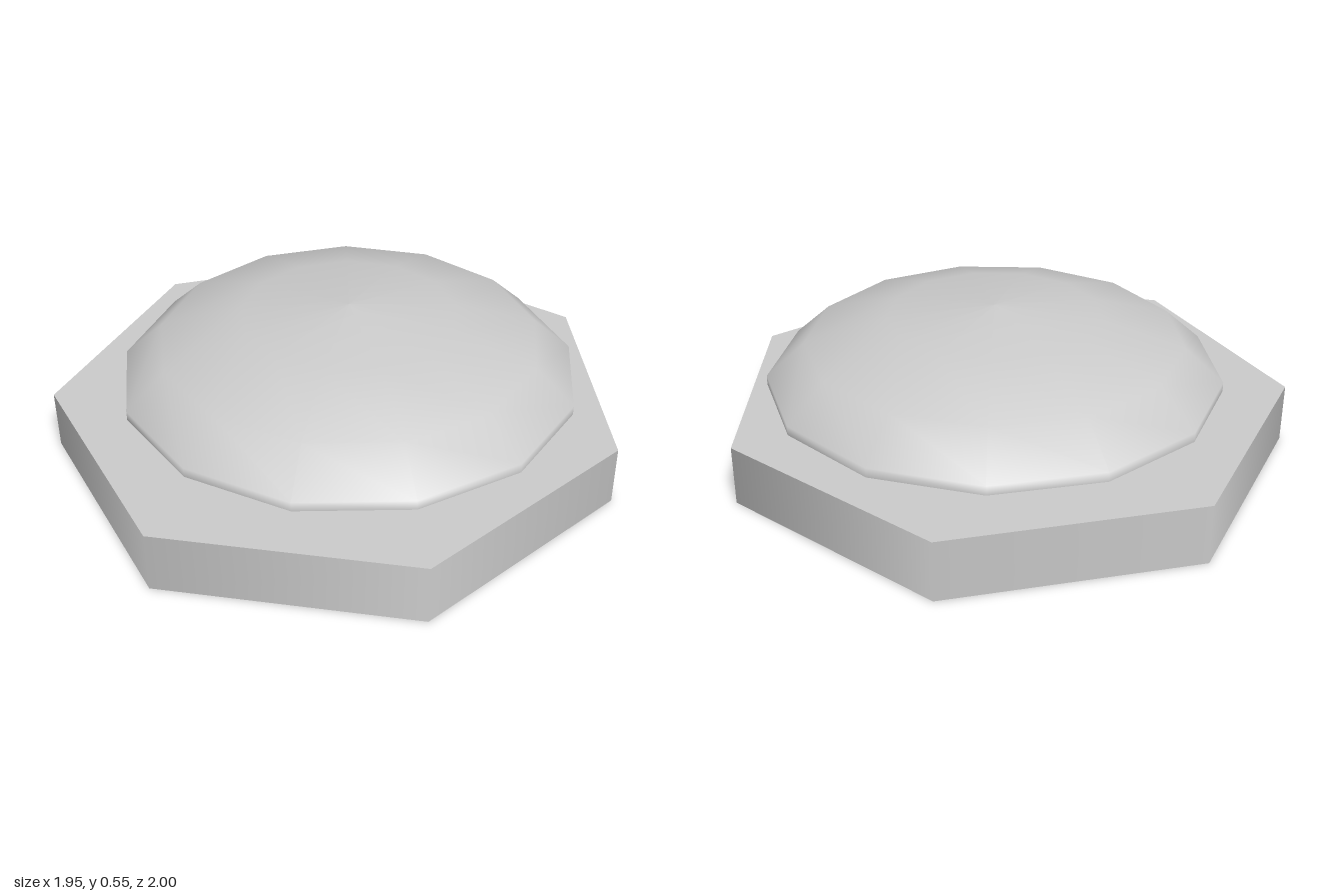
import * as THREE from 'three';

export function createModel() {
  const group = new THREE.Group();
  const material = new THREE.MeshStandardMaterial({ color: 0xcccccc });

  const add = (parent, name, geometry, x, y, z) => {
    const mesh = new THREE.Mesh(geometry, material);
    mesh.name = name;
    mesh.position.set(x, y, z);
    parent.add(mesh);
  };

  // Seven-sided base slab with one corner on +x
  const baseHeight = 0.215;
  add(group, 'base',
    new THREE.CylinderGeometry(1.026, 1.026, baseHeight, 7, 1, false, Math.PI / 2),
    -0.053, baseHeight / 2, 0);

  // Flattened half-ellipsoid floating just above the base
  const sides = 13, radius = 0.824, height = 0.28;
  const step = (2 * Math.PI) / sides;
  const rim = radius * Math.sin(3 * step);
  const profile = [new THREE.Vector2(rim, 0)];
  for (let i = 3; i >= 0; i--) {
    profile.push(new THREE.Vector2(radius * Math.sin(i * step), height * Math.cos(i * step)));
  }
  const dome = new THREE.Group();
  dome.name = 'dome';
  dome.position.set(-0.012, 0.27, 0.006);
  group.add(dome);
  add(dome, 'domeShell', new THREE.LatheGeometry(profile, sides, Math.PI), 0, 0, 0);

  // Flat underside of the dome
  add(dome, 'domeUnderside',
    new THREE.CircleGeometry(rim, sides, -Math.PI / 2).rotateX(Math.PI / 2), 0, 0, 0);

  return group;
}
